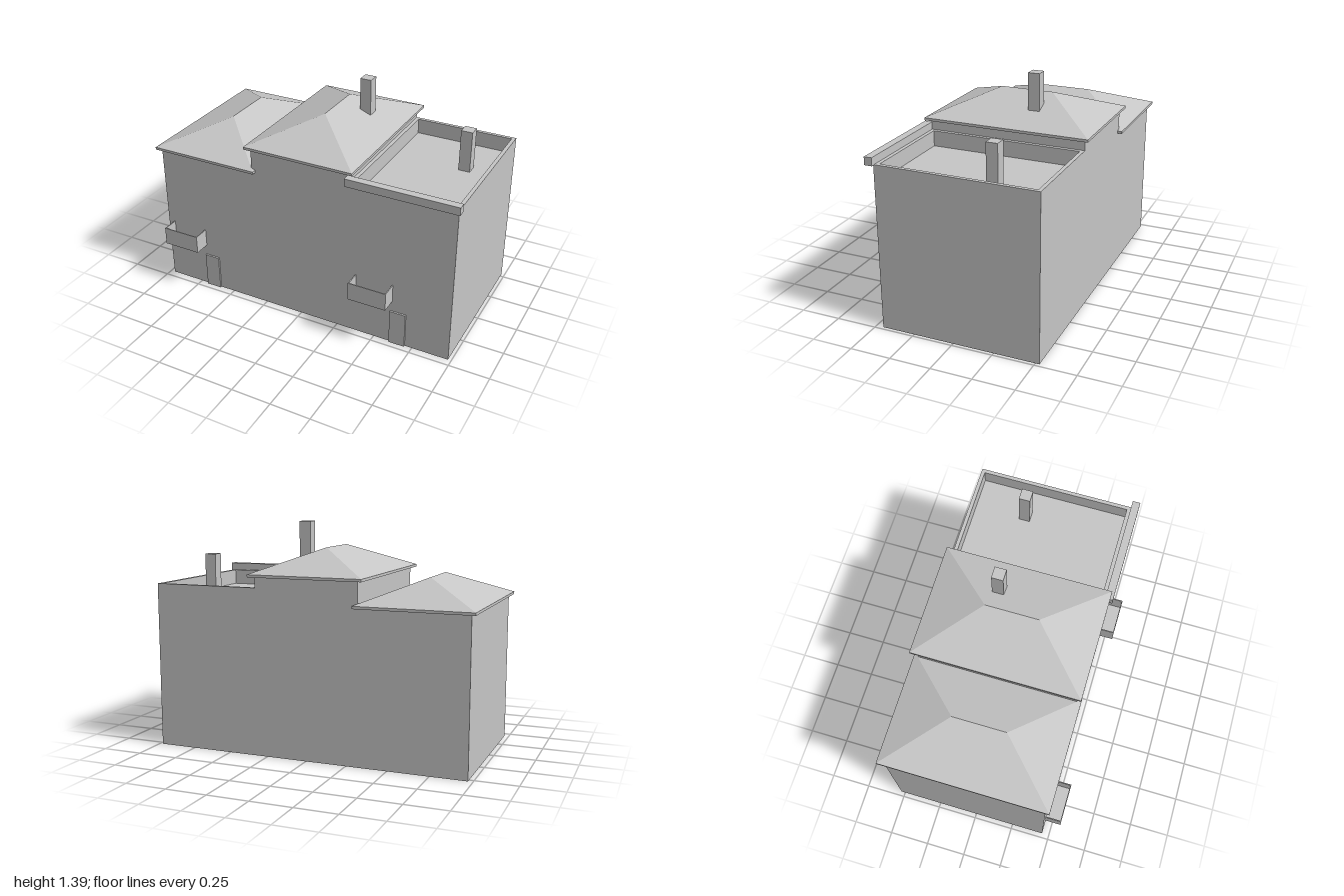
import * as THREE from 'three';

const plaster = new THREE.MeshStandardMaterial({ color: 0xc6c6c6 });
plaster.name = 'grey plaster';

const BACK = -0.526, FRONT = 0.454; // wall planes

function add(parent, name, geometry) {
  const mesh = new THREE.Mesh(geometry, plaster);
  mesh.name = name;
  parent.add(mesh);
  return mesh;
}

// Box given by its limits on each axis
function box(parent, name, x0, x1, y0, y1, z0, z1) {
  const mesh = add(parent, name, new THREE.BoxGeometry(x1 - x0, y1 - y0, z1 - z0));
  mesh.position.set((x0 + x1) / 2, (y0 + y1) / 2, (z0 + z1) / 2);
  return mesh;
}

// Hipped roof with a thin vertical eave edge and a closed soffit
function hipRoof(parent, name, x0, x1, yBase, yEave, yRidge) {
  const z0 = -0.554, z1 = 0.481;
  const half = (x1 - x0) / 2, xm = (x0 + x1) / 2;
  const ring = y => [[x0, y, z1], [x1, y, z1], [x1, y, z0], [x0, y, z0]];
  const points = [...ring(yBase), ...ring(yEave), [xm, yRidge, z1 - half], [xm, yRidge, z0 + half]];
  const index = [0, 3, 2, 0, 2, 1];
  for (let i = 0; i < 4; i++) {
    const j = (i + 1) % 4;
    index.push(i, j, j + 4, i, j + 4, i + 4);
  }
  index.push(4, 5, 8, 5, 6, 9, 5, 9, 8, 6, 7, 9, 7, 4, 8, 7, 8, 9);
  const indexed = new THREE.BufferGeometry();
  indexed.setAttribute('position', new THREE.Float32BufferAttribute(points.flat(), 3));
  indexed.setIndex(index);
  const geometry = indexed.toNonIndexed();
  geometry.computeVertexNormals();
  add(parent, name, geometry);
}

// Open-topped balcony: floor, front panel and two side panels
function balcony(parent, name, x0, x1) {
  const group = new THREE.Group();
  group.name = name;
  const t = 0.006, y0 = 0.295, y1 = 0.409, z1 = 0.555;
  box(group, 'balconyFloor', x0, x1, y0, y0 + t, FRONT, z1);
  box(group, 'balconyFront', x0, x1, y0 + t, y1, z1 - t, z1);
  box(group, 'balconySide', x0, x0 + t, y0 + t, y1, FRONT, z1 - t);
  box(group, 'balconySide', x1 - t, x1, y0 + t, y1, FRONT, z1 - t);
  parent.add(group);
}

export function createModel() {
  const model = new THREE.Group();
  model.name = 'terracedHouses';

  // Walls: stepped front outline pushed through the full depth
  const outline = new THREE.Shape([
    [-0.972, 0], [0.98, 0], [0.98, 0.915], [0.32, 0.915],
    [0.32, 1.076], [-0.32, 1.076], [-0.32, 0.923], [-0.972, 0.923],
  ].map(p => new THREE.Vector2(...p)));
  const walls = new THREE.ExtrudeGeometry(outline, { depth: FRONT - BACK, bevelEnabled: false });
  walls.translate(0, 0, BACK);
  add(model, 'walls', walls);

  // Hipped roofs
  hipRoof(model, 'leftRoof', -1, -0.295, 0.922, 0.938, 1.08);
  hipRoof(model, 'middleRoof', -0.353, 0.355, 1.074, 1.09, 1.234);

  // Parapet ring around the flat roof
  const rect = (x0, x1, z0, z1) =>
    [[x0, -z1], [x1, -z1], [x1, -z0], [x0, -z0]].map(p => new THREE.Vector2(...p));
  const ring = new THREE.Shape(rect(0.32, 0.98, BACK, FRONT));
  ring.holes.push(new THREE.Path(rect(0.343, 0.957, -0.503, 0.427)));
  const parapet = new THREE.ExtrudeGeometry(ring, { depth: 0.096, bevelEnabled: false });
  parapet.rotateX(-Math.PI / 2).translate(0, 0.915, 0);
  add(model, 'parapet', parapet);
  box(model, 'frontCornice', 0.315, 1, 1.008, 1.057, 0.45, 0.498);

  // Chimneys
  box(model, 'middleChimney', 0.11, 0.181, 1.1, 1.388, -0.19, -0.119);
  box(model, 'rightChimney', 0.752, 0.823, 0.9, 1.174, -0.217, -0.147);

  // Balconies and doors
  balcony(model, 'leftBalcony', -0.932, -0.69);
  balcony(model, 'rightBalcony', 0.372, 0.614);
  box(model, 'leftDoor', -0.697, -0.598, 0, 0.226, FRONT - 0.01, 0.465);
  box(model, 'rightDoor', 0.603, 0.704, 0, 0.226, FRONT - 0.01, 0.465);

  return model;
}
